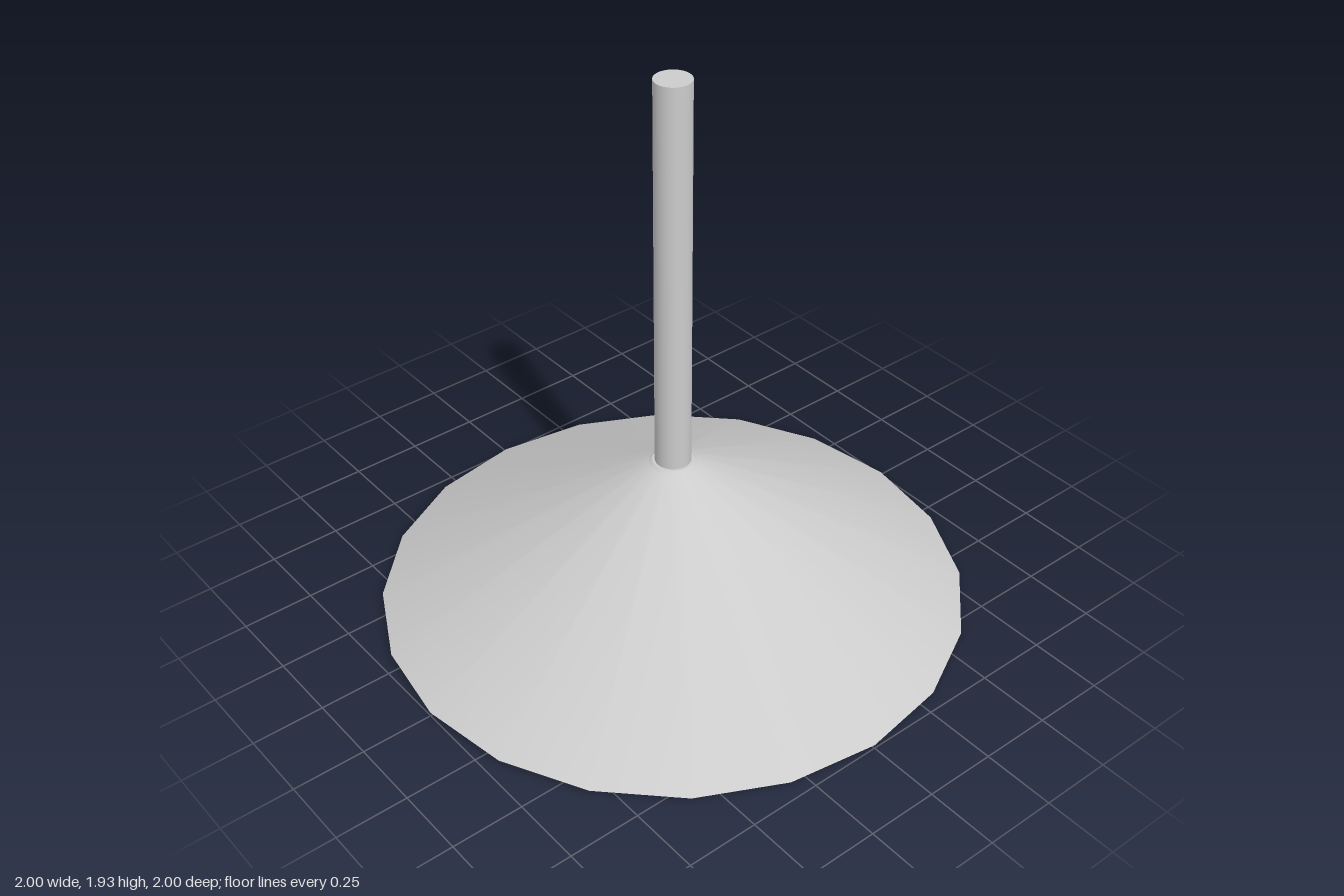
import * as THREE from 'three';

const grey = new THREE.MeshStandardMaterial({ color: 0xcccccc });

// Revolves [radius, height] pairs; going upwards makes faces point outwards
function lathe(points, segments) {
  return new THREE.LatheGeometry(points.map(([r, y]) => new THREE.Vector2(r, y)), segments);
}

function add(parent, name, geometry) {
  const mesh = new THREE.Mesh(geometry, grey);
  mesh.name = name;
  parent.add(mesh);
  return mesh;
}

export function createModel() {
  const lamp = new THREE.Group();
  lamp.name = 'pendantLamp';

  // Shade: 20-sided cone with thickness, each band its own lathe for sharp edges
  const shade = new THREE.Group();
  shade.name = 'shade';
  lamp.add(shade);
  const sides = 20;
  add(shade, 'shadeInside', lathe([[0.06, 0.505], [0.925, 0]], sides));
  add(shade, 'shadeRim', lathe([[0.925, 0], [1, 0.013]], sides));
  add(shade, 'shadeOutside', lathe([[1, 0.013], [0.08, 0.545]], sides));
  add(shade, 'shadeCollar', lathe([[0.08, 0.545], [0.07, 0.553]], sides));
  add(shade, 'shadeTop', lathe([[0.07, 0.553], [0, 0.553]], sides));

  // Hanging rod
  const rod = add(lamp, 'rod', new THREE.CylinderGeometry(0.061, 0.061, 1.39, 32));
  rod.position.y = 1.24;

  // Socket under the apex of the shade
  const socket = add(lamp, 'socket', new THREE.CylinderGeometry(0.07, 0.07, 0.15, 32));
  socket.position.y = 0.44;

  // Bulb: round bottom, blending through a shoulder into a narrow neck
  const radius = 0.127, centre = 0.147;
  const profile = [];
  for (let i = 0; i <= 14; i++) {
    const a = -Math.PI / 2 + (i / 14) * (Math.PI / 2 + 0.5);
    profile.push([i ? radius * Math.cos(a) : 0, centre + radius * Math.sin(a)]);
  }
  profile.push([0.088, 0.255], [0.073, 0.288], [0.066, 0.315], [0.065, 0.37]);
  add(lamp, 'bulb', lathe(profile, 32));

  return lamp;
}
